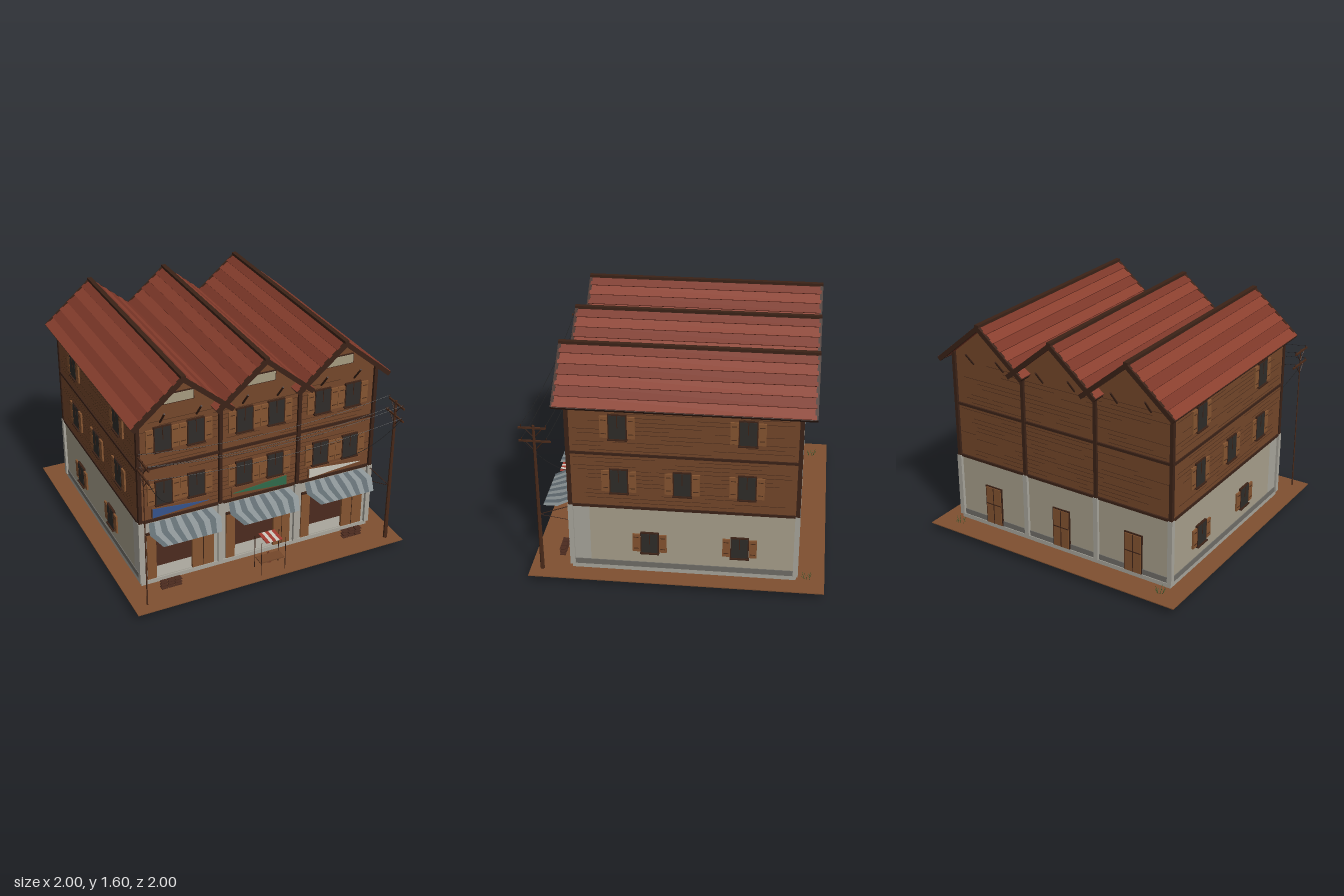
import * as THREE from 'three';

const C = { wood: 0x74472a, dark: 0x3b2217, shutter: 0x855430, groove: 0x4a2c1a, stone: 0xa8a08c, pillar: 0xa9a69c,
  base: 0x706e68, glass: 0x2f2c29, roof: 0x8a3f2e, roof2: 0x7c3728, ground: 0x7f5030, inside: 0x4c2b1f, plate: 0xa69b80 };
const mats = {};
const mat = c => mats[c] ??= new THREE.MeshStandardMaterial({ color: c, flatShading: true, side: THREE.DoubleSide });
const GY = 0.05, BAY = 0.575, FRONT = 0.7, BACK = -0.81, MID = (FRONT + BACK) / 2, DEPTH = FRONT - BACK;

let seed = 7;
const rnd = () => (seed = (seed * 16807) % 2147483647) / 2147483647;

function mesh(parent, name, geo, color) {
  const m = new THREE.Mesh(geo, mat(color));
  m.name = name;
  parent.add(m);
  return m;
}
function box(parent, name, color, w, h, d, x, y, z) {
  const m = mesh(parent, name, new THREE.BoxGeometry(w, h, d), color);
  m.position.set(x, y, z);
  return m;
}
function group(parent, name, x = 0, y = 0, z = 0, ry = 0) {
  const g = new THREE.Group();
  g.name = name;
  g.position.set(x, y, z);
  g.rotation.y = ry;
  parent.add(g);
  return g;
}
// Straight rod between two points
function rod(parent, name, color, a, b, r0, r1 = r0) {
  const A = new THREE.Vector3(...a), D = new THREE.Vector3(...b).sub(A);
  const m = mesh(parent, name, new THREE.CylinderGeometry(r1, r0, D.length(), 6), color);
  m.position.copy(A).addScaledVector(D, 0.5);
  m.quaternion.setFromUnitVectors(new THREE.Vector3(0, 1, 0), D.normalize());
  return m;
}
const polygon = pts => new THREE.Shape(pts.map(p => new THREE.Vector2(...p)));
const extrude = (shape, depth) => new THREE.ExtrudeGeometry(shape, { depth, bevelEnabled: false });

// Shuttered window facing +z
function shutteredWindow(parent, x, y, z, ry, h = 0.18, sw = 0.055) {
  const g = group(parent, 'window', x, y, z, ry), w = 0.122;
  box(g, 'windowFrame', C.dark, w, h, 0.016, 0, 0, 0.004);
  box(g, 'windowPane', C.glass, w - 0.014, h - 0.014, 0.004, 0, 0, 0.012);
  box(g, 'windowMullion', C.dark, 0.006, h * 0.5, 0.006, 0, h * 0.22, 0.013);
  box(g, 'windowSill', C.dark, w + 0.006, 0.008, 0.026, 0, -h / 2, 0.01);
  for (const s of [-1, 1]) {
    const sx = s * (w / 2 + sw / 2);
    box(g, 'shutter', C.shutter, sw - 0.004, h - 0.025, 0.012, sx, -0.002, 0.006);
    for (const t of [-0.27, 0.27]) box(g, 'shutterBatten', C.groove, sw * 0.6, 0.005, 0.004, sx, t * h, 0.013);
  }
}

// One pitched roof with overlapping board courses along z
function pitchedRoof(parent, cx) {
  const g = group(parent, 'roof', cx, 1.588, -0.06), L = 1.66, slope = 0.7, n = 6, step = 0.075;
  for (const s of [-1, 1]) {
    const side = group(g, 'roofSlope');
    side.rotation.z = -s * slope;
    box(side, 'roofDeck', C.roof2, 0.45, 0.012, L, s * 0.225, -0.012, 0);
    for (let i = 0; i < n; i++) {
      const b = box(side, 'roofCourse', i % 2 ? C.roof : C.roof2, step + 0.006, 0.01, L, s * (i + 0.5) * step, 0.002, 0);
      b.rotation.z = s * 0.1;
      box(side, 'courseShadow', C.groove, 0.005, 0.004, L - 0.02, s * (i + 1) * step, -0.002, 0);
    }
    for (const e of [-1, 1]) box(side, 'bargeBoard', C.dark, 0.46, 0.032, 0.02, s * 0.225, -0.008, e * 0.83);
    box(side, 'eaveBoard', C.dark, 0.014, 0.026, L, s * 0.45, -0.008, 0);
  }
  box(g, 'ridgeBeam', C.dark, 0.032, 0.026, 1.68, 0, 0, 0);
}

// Striped awning, widest half way out
function awning(parent, cx) {
  const rows = [[0.7, 0.535, 0.225], [0.79, 0.505, 0.255], [0.9, 0.472, 0.205]], n = 12, g = group(parent, 'awning', cx);
  for (let i = 0; i < n; i++) {
    const pos = [], idx = [];
    for (const [z, y, w] of rows) for (const k of [i, i + 1]) pos.push((2 * k / n - 1) * w, y, z);
    for (const r of [0, 2]) idx.push(r, r + 2, r + 1, r + 1, r + 2, r + 3);
    const geo = new THREE.BufferGeometry();
    geo.setAttribute('position', new THREE.Float32BufferAttribute(pos, 3));
    geo.setIndex(idx);
    geo.computeVertexNormals();
    mesh(g, 'awningStripe', geo, i % 2 ? 0x8a9294 : 0x606b70);
  }
}

// Utility pole with two cross arms along z
function utilityPole(parent, x, r) {
  const g = group(parent, 'utilityPole', x, 0, 0.9);
  rod(g, 'pole', 0x4a2a1a, [0, GY, 0], [0, 1.15, 0], r, r * 0.6);
  for (const [y, a, b] of [[1.13, -0.08, 0.1], [1.035, -0.11, 0.1]]) {
    box(g, 'crossArm', 0x4a2a1a, 0.01, 0.012, b - a, 0, y, (a + b) / 2);
    for (const s of [-1, 1]) {
      rod(g, 'armBrace', C.dark, [0, y - 0.07, 0], [0, y, s * 0.06], 0.003);
      rod(g, 'insulator', C.dark, [0, y, s * 0.08], [0, y + 0.025, s * 0.08], 0.003);
    }
  }
}
function wire(parent, a, b, sag) {
  const A = new THREE.Vector3(...a), B = new THREE.Vector3(...b), M = A.clone().add(B).multiplyScalar(0.5);
  M.y -= 2 * sag;
  mesh(parent, 'wire', new THREE.TubeGeometry(new THREE.QuadraticBezierCurve3(A, M, B), 24, 0.0018, 4), 0x222222);
}

export function createModel() {
  const root = new THREE.Group();
  root.name = 'rowOfTimberShops';
  box(root, 'ground', C.ground, 2, 0.006, 1.98, 0, GY - 0.003, -0.01);
  box(root, 'foundation', C.pillar, 1.73, 0.03, DEPTH, 0, GY + 0.015, MID);

  // Masonry ground floor with three shop openings
  const front = polygon([[-0.86, 0.08], [0.86, 0.08], [0.86, 0.55], [-0.86, 0.55]]);
  for (const i of [-1, 0, 1]) {
    const c = i * BAY;
    front.holes.push(polygon([[c - 0.243, 0.085], [c - 0.243, 0.45], [c + 0.243, 0.45], [c + 0.243, 0.085]]));
  }
  mesh(root, 'shopFrontWall', extrude(front, 0.12), C.pillar).position.z = FRONT - 0.13;
  box(root, 'groundFloorWalls', C.stone, 1.72, 0.47, DEPTH - 0.14, 0, 0.315, BACK + 0.01 + (DEPTH - 0.14) / 2);
  for (const s of [-1, 1]) box(root, 'sideBaseBand', C.base, 0.006, 0.04, DEPTH - 0.03, s * 0.862, 0.1, MID);
  box(root, 'backBaseBand', C.base, 1.7, 0.04, 0.006, 0, 0.1, BACK + 0.008);

  // Timber upper floors with three gables
  const outline = [[-0.865, 0.55], [0.865, 0.55]];
  for (const i of [1, 0, -1]) {
    const c = i * BAY;
    outline.push([c + (i === 1 ? 0.29 : 0.2875), 1.322], [c, 1.565]);
  }
  outline.push([-0.865, 1.322]);
  mesh(root, 'upperWalls', extrude(polygon(outline), DEPTH - 0.02), C.wood).position.z = BACK + 0.01;

  // Plank grooves
  for (let y = 0.585; y < 1.3; y += 0.03) {
    for (let k = 0; k < 5; k++) {
      const l = 0.1 + rnd() * 0.35, x = (rnd() - 0.5) * (1.7 - l), z = MID + (rnd() - 0.5) * (1.45 - l);
      for (const e of [FRONT - 0.01, BACK + 0.01]) box(root, 'plankGroove', C.groove, l, 0.003, 0.002, x, y, e);
      for (const s of [-1, 1]) box(root, 'plankGroove', C.groove, 0.002, 0.003, l, s * 0.865, y, z);
    }
  }

  // Beams and posts
  for (const y of [0.55, 0.948]) {
    for (const z of [FRONT - 0.006, BACK + 0.006]) box(root, 'floorBeam', C.dark, 1.74, 0.018, 0.018, 0, y, z);
    for (const s of [-1, 1]) box(root, 'floorBeam', C.dark, 0.018, 0.018, DEPTH, s * 0.864, y, MID);
  }
  for (const x of [-0.86, -BAY / 2, BAY / 2, 0.86]) for (const z of [FRONT - 0.005, BACK + 0.005]) {
    box(root, 'cornerPost', C.dark, 0.024, 0.78, 0.028, x, 0.94, z);
    box(root, 'stonePillar', C.pillar, 0.034, 0.47, 0.034, x, 0.315, z);
  }

  // Bays: roof, windows, shop front, sign, back door
  const signColors = [0x35538c, 0x2f6b4a, 0xc9c5ba];
  [-1, 0, 1].forEach((i, n) => {
    const c = i * BAY;
    pitchedRoof(root, c);
    awning(root, c);
    for (const y of [0.75, 1.15]) for (const s of [-1, 1]) shutteredWindow(root, c + s * 0.115, y, FRONT - 0.008, 0);
    box(root, 'gablePlate', C.dark, 0.212, 0.072, 0.012, c, 1.422, FRONT - 0.006);
    box(root, 'gablePanel', C.plate, 0.2, 0.06, 0.012, c, 1.422, FRONT - 0.002);
    for (const s of [-1, 1]) for (const [z, d] of [[FRONT, 1], [BACK, -1]])
      rod(root, 'roofStrut', C.dark, [c + s * 0.125, 1.265, z - d * 0.01], [c + s * 0.125, 1.36, z + d * 0.065], 0.007);
    box(root, 'shopInterior', C.inside, 0.486, 0.366, 0.01, c, 0.267, FRONT - 0.124);
    box(root, 'shopLintel', C.dark, 0.49, 0.014, 0.02, c, 0.45, FRONT - 0.006);
    const wR = i ? 0.16 : 0.125;
    box(root, 'foldedDoor', C.shutter, 0.065, 0.36, 0.02, c - 0.21, 0.265, FRONT - 0.01);
    box(root, 'foldedDoor', C.shutter, wR, 0.36, 0.02, c + 0.243 - wR / 2, 0.265, FRONT - 0.01);
    box(root, 'doorSeam', C.groove, 0.004, 0.36, 0.003, c + 0.243 - wR / 2, 0.265, FRONT + 0.001);
    // Wedge-painted sign board
    box(root, 'signBoard', C.wood, 0.41, 0.074, 0.014, c, 0.61, FRONT + 0.002);
    const d = i === 0 ? -1 : 1;
    mesh(root, 'signWedge', extrude(polygon([[c - d * 0.2, 0.575], [c + d * 0.2, 0.608], [c - d * 0.2, 0.645]]), 0.006),
      signColors[n]).position.z = FRONT + 0.008;
    box(root, 'backDoorFrame', C.dark, 0.14, 0.29, 0.014, c, 0.225, BACK + 0.008);
    box(root, 'backDoor', C.shutter, 0.124, 0.28, 0.014, c, 0.222, BACK + 0.003);
    box(root, 'backDoorRail', C.dark, 0.124, 0.006, 0.004, c, 0.235, BACK - 0.005);
    box(root, 'backDoorSeam', C.dark, 0.005, 0.28, 0.004, c, 0.222, BACK - 0.005);
  });

  // Side windows
  for (const s of [-1, 1]) {
    const put = (y, z, h) => shutteredWindow(root, s * 0.865, y, z, s * Math.PI / 2, h);
    for (const z of [0.365, -0.05, -0.47]) put(0.75, z);
    for (const z of [0.365, -0.47]) put(1.15, z);
    for (const z of [0.17, -0.43]) put(0.282, z, 0.16);
  }

  // Poles and wires
  utilityPole(root, 0.905, 0.015);
  utilityPole(root, -0.905, 0.005);
  for (const z of [0.82, 0.98]) {
    wire(root, [-0.905, 1.15, z], [0.905, 1.15, z], 0.07);
    wire(root, [-0.905, 1.055, z], [0.905, 1.055, z], 0.065);
  }
  for (const s of [-1, 1]) wire(root, [s * 0.905, 1.04, 0.98], [s * 0.64, 0.66, FRONT], 0.05);
  rod(root, 'poleStay', C.dark, [0.905, 0.48, 0.9], [0.86, 0.53, FRONT], 0.003);
  rod(root, 'poleStay', C.dark, [0.905, 0.48, 0.9], [0.86, 0.42, FRONT], 0.002);

  // Street stall with striped cover
  const stall = group(root, 'streetStall', 0, 0, 0.88);
  for (const x of [-0.09, 0.09]) for (const z of [-0.05, 0.05]) rod(stall, 'stallPost', C.dark, [x, GY, z], [x, 0.31, z], 0.0025);
  box(stall, 'stallCounter', C.wood, 0.18, 0.008, 0.08, 0, 0.14, 0);
  for (let i = 0; i < 5; i++) box(stall, 'stallCover', i % 2 ? 0xd0cbc2 : 0xa33a30, 0.024, 0.006, 0.12, (i - 2) * 0.024, 0.31, 0);

  // Low crates, stools and grass tufts
  for (const s of [-1, 1]) for (let k = 0; k < 3; k++) {
    const x = s * (0.64 + k * 0.05);
    for (let j = 0; j < 3; j++) box(root, 'crateSlat', C.inside, 0.045, 0.006, 0.04, x, 0.065 + j * 0.022, 0.79);
  }
  const stool = mesh(root, 'stool', new THREE.ConeGeometry(0.03, 0.08, 5), 0x6b3322);
  stool.position.set(0.03, 0.09, 0.8);
  for (const s of [-1, 1]) for (let k = 0; k < 9; k++) {
    const a = k * 0.7, r = 0.035, x = s * 0.83, z = -0.88;
    rod(root, 'grassBlade', 0x3d5a2c, [x, 0.0, z], [x + Math.cos(a) * r, 0.06 + rnd() * 0.03, z + Math.sin(a) * r], 0.004, 0.001);
  }
  return root;
}
